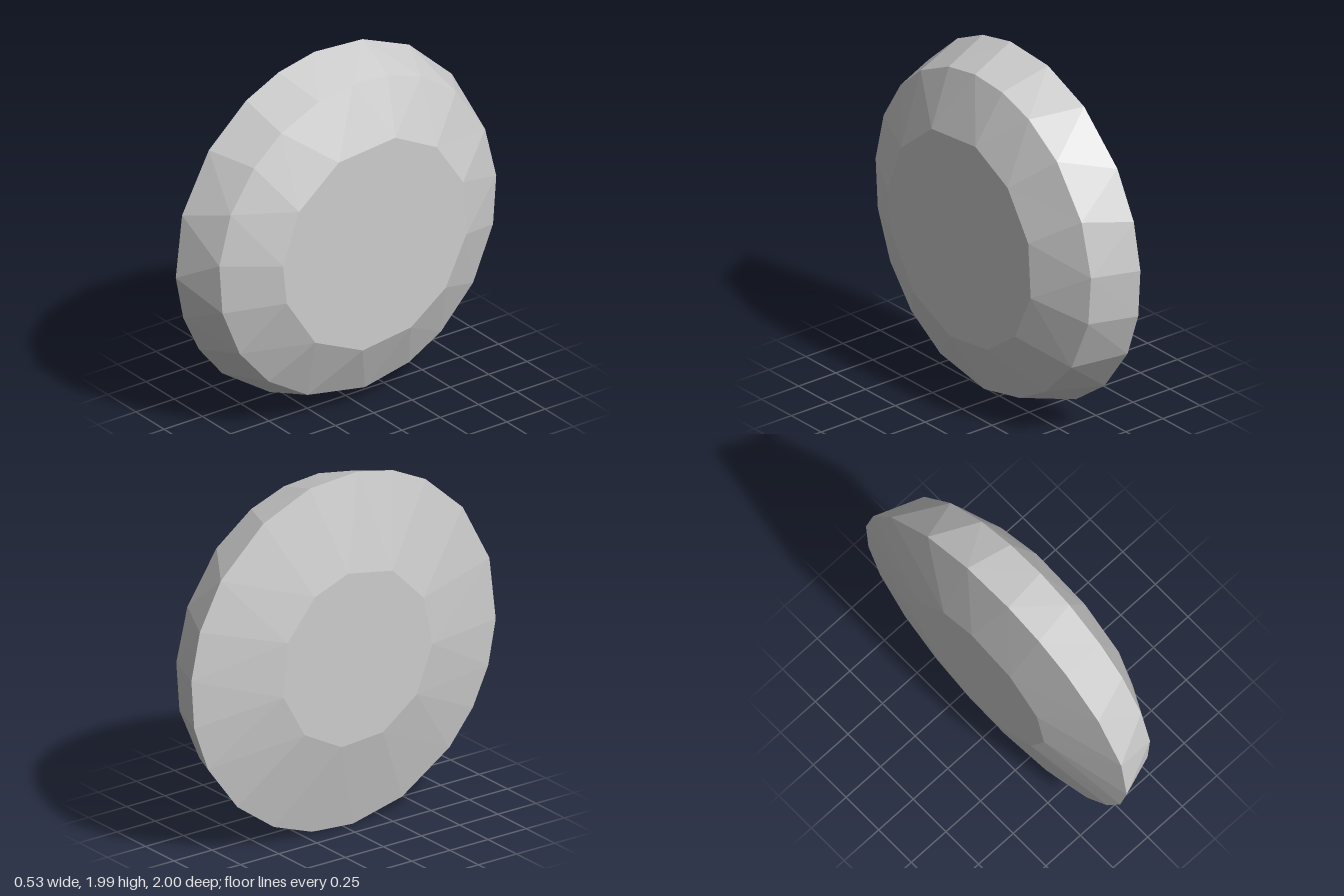
import * as THREE from 'three';

// Each ring lies across the x axis; angles in degrees run from the top towards the back.
const RINGS = [
  { x: () => -0.27, r: 0.495, a: [7, 34, 67, 103, 136, 168, 200, 232, 265, 298, 332] },
  { x: () => -0.15, r: 1.0, a: [-5.3, 12.8, 31.7, 53.6, 70.4, 86, 101.7, 117.2, 135.9, 152.8, 168,
    183.5, 202.6, 224, 238, 251.6, 266.3, 287, 308.6, 327.5, 341] },
  { x: (t) => 0.108 + 0.02 * Math.cos(t) ** 2, r: 0.907, a: [-2.8, 11.7, 26.3, 44.2, 66.1, 85.6, 103.3,
    124.4, 144, 159.2, 178, 201.9, 220.5, 238.6, 257, 275.1, 293.5, 311.1, 325.9, 342.9] },
  { x: () => 0.265, r: 0.605, a: [12.4, 41.4, 71.2, 101.3, 130.5, 157.4, 187.8, 220.4, 253.4, 275.1, 304.6, 336.7] },
];

// Ring points, closed by repeating the first angle a full turn later
function ringPoints({ x, r, a }) {
  return [...a, a[0] + 360].map((deg) => {
    const t = THREE.MathUtils.degToRad(deg);
    return { deg, p: [x(t), 1 + r * Math.cos(t), -r * Math.sin(t)] };
  });
}

// Triangle band between two rings with different numbers of corners
function band(A, B, out) {
  let i = 0, j = 0;
  while (i < A.length - 1 || j < B.length - 1) {
    const stepA = i < A.length - 1 ? Math.abs(A[i + 1].deg - B[j].deg) : Infinity;
    const stepB = j < B.length - 1 ? Math.abs(A[i].deg - B[j + 1].deg) : Infinity;
    if (stepA <= stepB) {
      out.push(...A[i].p, ...B[j].p, ...A[i + 1].p);
      i++;
    } else {
      out.push(...A[i].p, ...B[j].p, ...B[j + 1].p);
      j++;
    }
  }
}

// Flat polygon closing an end
function cap(R, facesPlusX, out) {
  const c = [R[0].p[0], 1, 0];
  for (let i = 0; i < R.length - 1; i++) {
    const [u, v] = facesPlusX ? [R[i + 1], R[i]] : [R[i], R[i + 1]];
    out.push(...c, ...u.p, ...v.p);
  }
}

export function createModel() {
  const group = new THREE.Group();
  group.name = 'facetedDisc';
  const stone = new THREE.MeshStandardMaterial({ color: 0xcccccc, flatShading: true });
  stone.name = 'pale grey';

  const rings = RINGS.map(ringPoints);
  const add = (name, build) => {
    const pos = [];
    build(pos);
    const geo = new THREE.BufferGeometry();
    geo.setAttribute('position', new THREE.Float32BufferAttribute(pos, 3));
    geo.computeVertexNormals();
    const mesh = new THREE.Mesh(geo, stone);
    mesh.name = name;
    group.add(mesh);
  };

  add('rightFace', (o) => cap(rings[0], false, o));
  add('rightBevel', (o) => band(rings[0], rings[1], o));
  add('rim', (o) => band(rings[1], rings[2], o));
  add('leftBevel', (o) => band(rings[2], rings[3], o));
  add('leftFace', (o) => cap(rings[3], true, o));
  return group;
}
